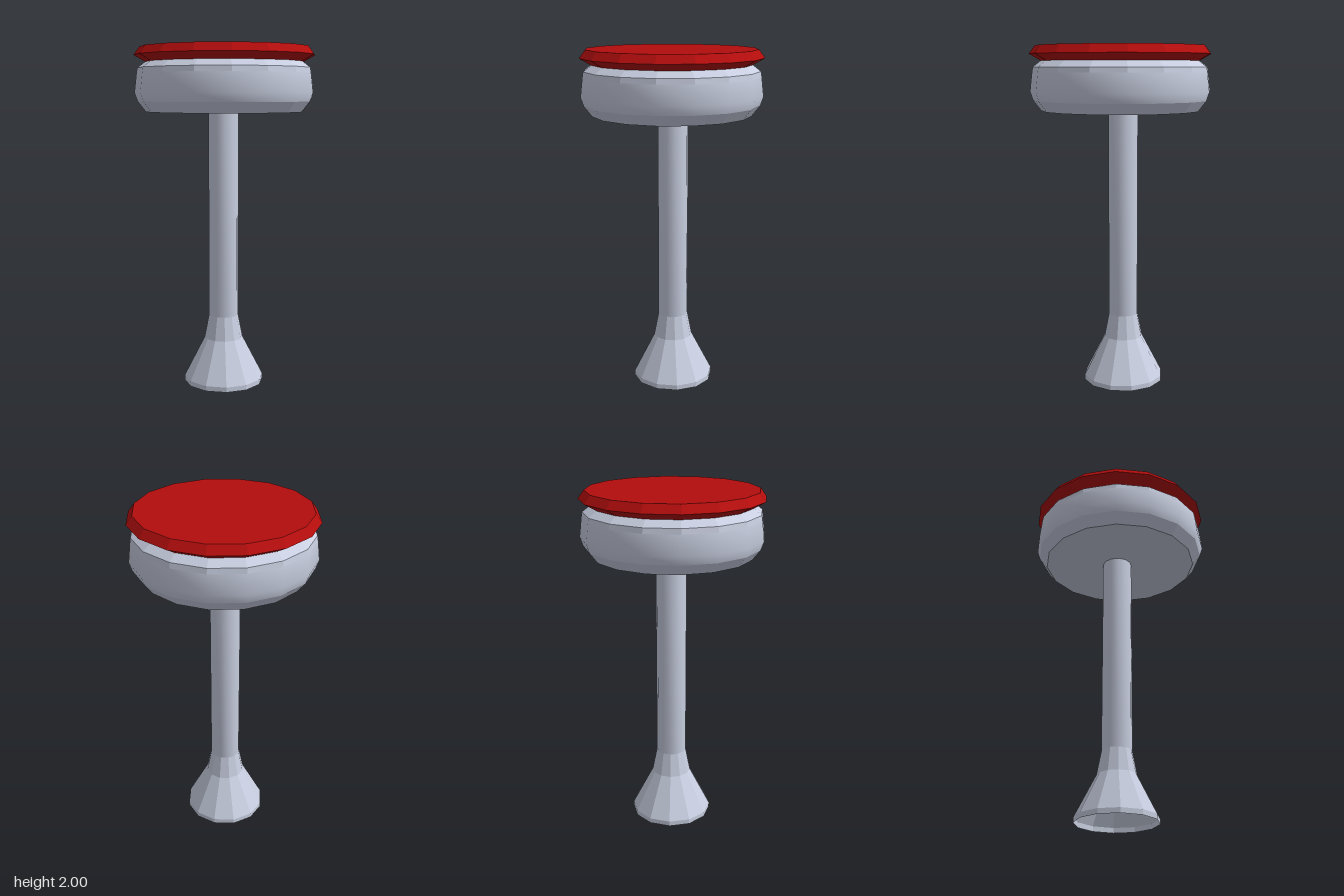
import * as THREE from 'three';
import { toCreasedNormals } from 'three/addons/utils/BufferGeometryUtils.js';

export function createModel() {
  const stool = new THREE.Group();
  stool.name = 'stool';

  const red = new THREE.MeshStandardMaterial({ color: 0xb40d0d });
  red.name = 'red vinyl';
  const metal = new THREE.MeshStandardMaterial({ color: 0xc8cee0, side: THREE.DoubleSide });
  metal.name = 'polished metal';

  // Turned part from [radius, height] pairs, bottom to top
  function turned(name, profile, sides, material, crease, parent) {
    const points = profile.map(([r, y]) => new THREE.Vector2(r, y));
    const geometry = toCreasedNormals(new THREE.LatheGeometry(points, sides), crease);
    const mesh = new THREE.Mesh(geometry, material);
    mesh.name = name;
    parent.add(mesh);
    return mesh;
  }
  const FLAT = 0.05, SMOOTH = 0.62;

  // Pedestal: open flared foot and round post, slightly off centre
  const pedestal = new THREE.Group();
  pedestal.name = 'pedestal';
  pedestal.position.set(-0.006, 0, -0.014);
  stool.add(pedestal);
  turned('flaredFoot', [[0.238, 0], [0.238, 0.03], [0.115, 0.27], [0.088, 0.41]], 12, metal, FLAT, pedestal);
  turned('post', [[0.088, 0.41], [0.088, 1.63]], 12, metal, SMOOTH, pedestal);

  // Metal seat drum: faceted chamfers around a smooth bulging wall
  const drum = new THREE.Group();
  drum.name = 'seatDrum';
  stool.add(drum);
  turned('drumUnderside', [[0, 1.63], [0.458, 1.63], [0.505, 1.69]], 16, metal, FLAT, drum);
  turned('drumWall', [[0.505, 1.69], [0.522, 1.74], [0.509, 1.85]], 16, metal, SMOOTH, drum);
  turned('drumRim', [[0.509, 1.85], [0.504, 1.88], [0.458, 1.915]], 16, metal, FLAT, drum);

  // Faceted cushion
  turned('cushion', [[0, 1.915], [0.458, 1.915], [0.525, 1.953], [0.49, 2], [0, 2]], 16, red, FLAT, stool);

  return stool;
}
